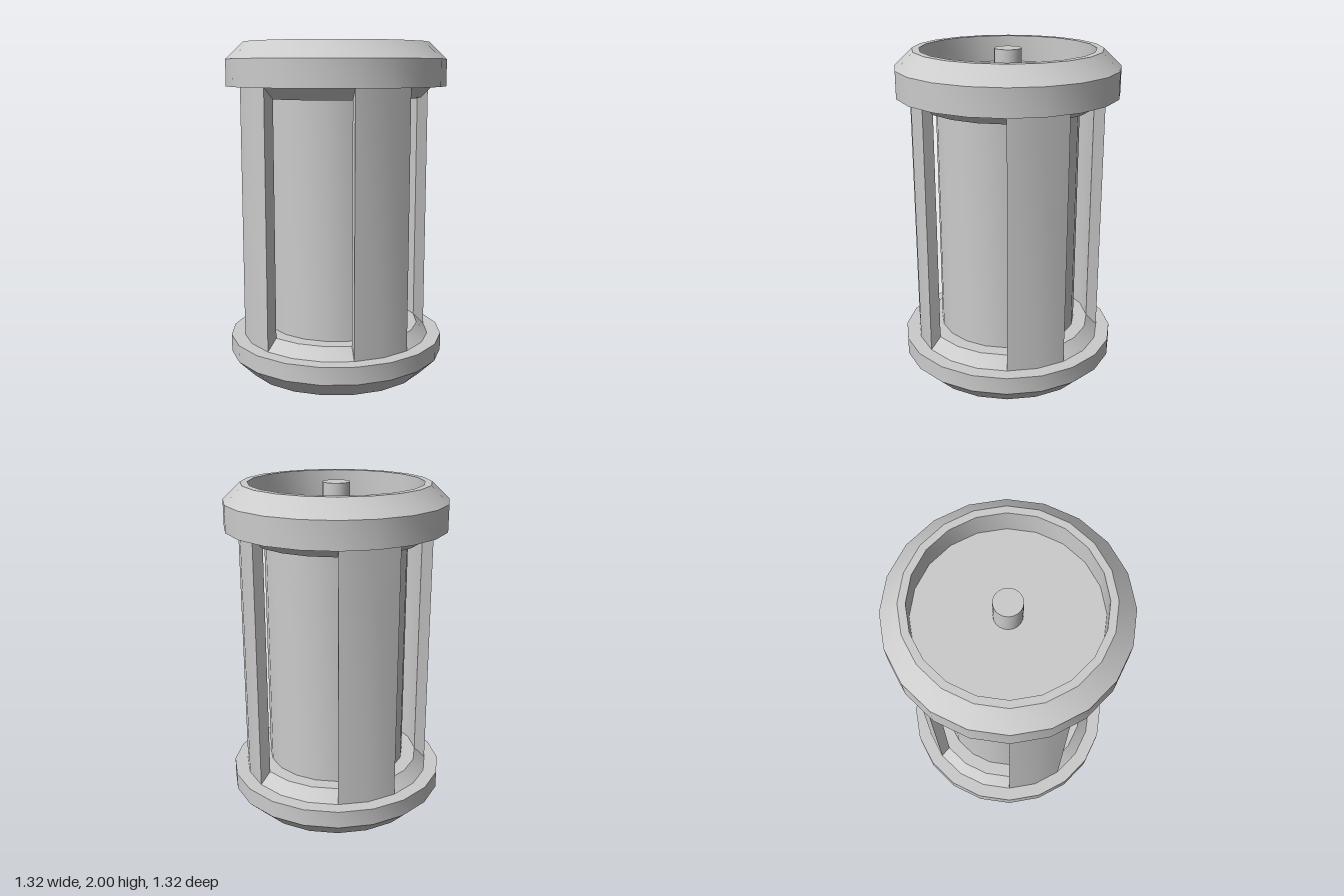
import * as THREE from 'three';
import { toCreasedNormals } from 'three/addons/utils/BufferGeometryUtils.js';

const SIDES = 20;
const material = new THREE.MeshStandardMaterial({ color: 0xcccccc });

function part(name, geometry) {
  const mesh = new THREE.Mesh(toCreasedNormals(geometry, 0.6), material);
  mesh.name = name;
  return mesh;
}

// Profile of [radius, height] pairs, turned around the y axis
function turned(name, profile) {
  const points = profile.map(([r, y]) => new THREE.Vector2(r, y));
  return part(name, new THREE.LatheGeometry(points, SIDES));
}

function pin(name, y0, y1) {
  const geometry = new THREE.CylinderGeometry(0.08, 0.08, y1 - y0, SIDES);
  geometry.translate(0, (y0 + y1) / 2, 0);
  return part(name, geometry);
}

// Curved wall segment with radial sides, standing between the two end caps
function pillarGeometry(inner, outer, y0, y1) {
  const at = (r, degrees) => {
    const a = THREE.MathUtils.degToRad(degrees);
    return new THREE.Vector2(r * Math.sin(a), -r * Math.cos(a));
  };
  const angles = [36, 54, 72];
  const shape = new THREE.Shape([
    ...angles.map((a) => at(outer, a)),
    ...angles.slice().reverse().map((a) => at(inner, a)),
  ]);
  const geometry = new THREE.ExtrudeGeometry(shape, { depth: y1 - y0, bevelEnabled: false });
  geometry.rotateX(-Math.PI / 2);
  geometry.translate(0, y0, 0);
  return geometry;
}

export function createModel() {
  const group = new THREE.Group();
  group.name = 'canister';

  // Bottom cap: recessed underside, bevelled rim, sloped sill around the drum
  group.add(turned('bottomCap', [
    [0, 0.105], [0.513, 0.105], [0.513, 0], [0.555, 0], [0.66, 0.105],
    [0.66, 0.21], [0.577, 0.21], [0.51, 0.277], [0.42, 0.277],
  ]));

  // Top cap: sloped lintel, bevelled rim, deep recess
  group.add(turned('topCap', [
    [0.42, 1.675], [0.51, 1.675], [0.577, 1.742], [0.66, 1.742],
    [0.66, 1.9], [0.555, 2], [0.513, 2], [0.513, 1.84], [0, 1.84],
  ]));

  // Inner drum
  group.add(turned('drum', [[0.426, 0.27], [0.426, 1.68]]));

  // Pins in the recesses
  group.add(pin('bottomPin', 0, 0.11));
  group.add(pin('topPin', 1.83, 2));

  // Four pillars
  const pillar = pillarGeometry(0.51, 0.577, 0.21, 1.742);
  for (let i = 0; i < 4; i++) {
    const mesh = part('pillar', pillar);
    mesh.rotation.y = (i * Math.PI) / 2;
    group.add(mesh);
  }

  return group;
}
